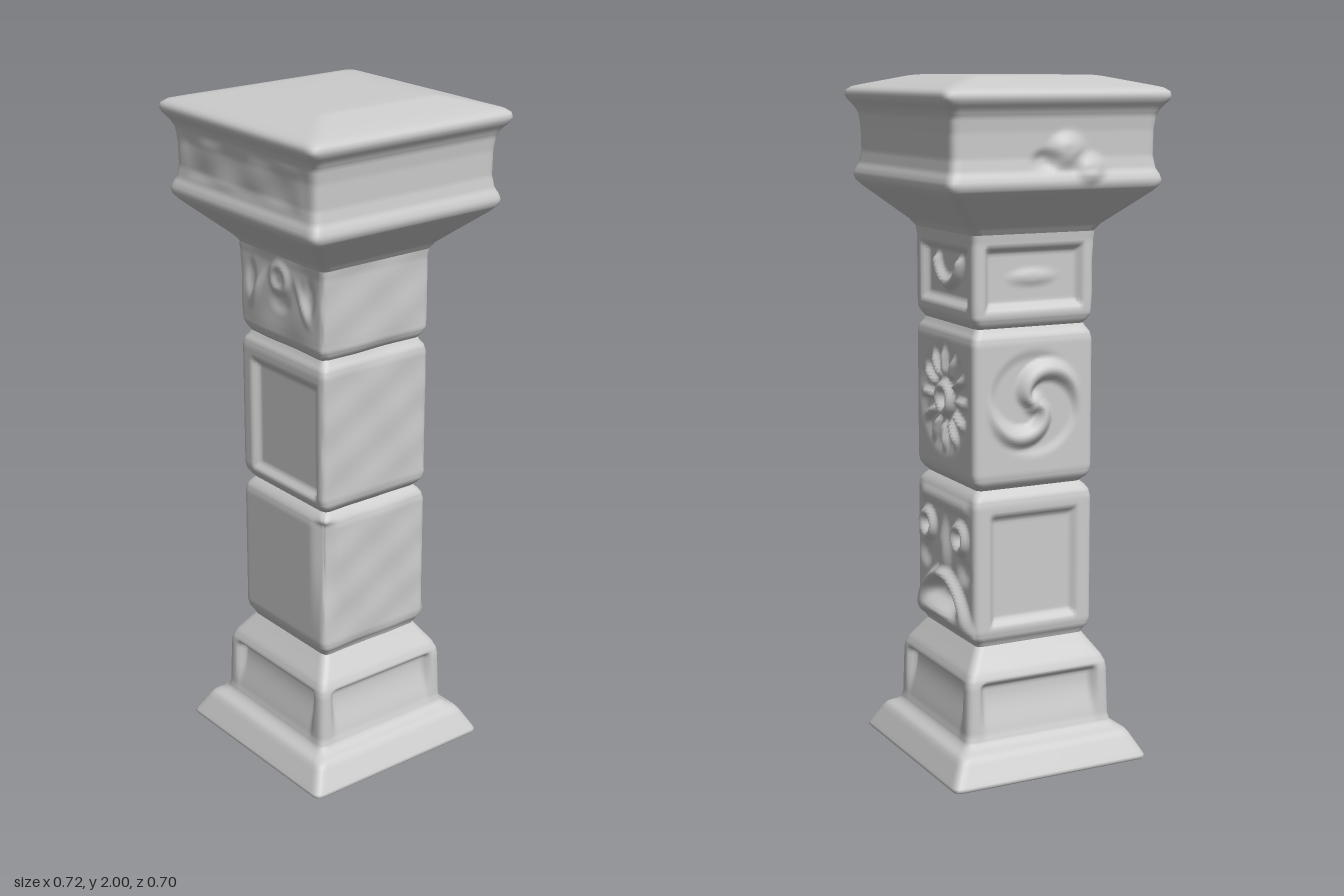
import * as THREE from 'three';

const stone = new THREE.MeshStandardMaterial({ color: 0xcccccc });
const PER_SIDE = 56, ROW = 0.0085, DEPTH = 0.975;

// --- relief helpers: u runs left to right on a face seen from outside, y is height ---
const step = (a, b, x) => THREE.MathUtils.smoothstep(x, a, b);
const bump = (d, w) => 1 - step(0, w, Math.abs(d));            // soft ridge around d = 0
const boxDist = (u, y, cx, cy, hw, hh) => Math.max(Math.abs(u - cx) - hw, Math.abs(y - cy) - hh);
const panel = (u, y, cx, cy, hw, hh, depth) => -depth * (1 - step(-0.022, 0.004, boxDist(u, y, cx, cy, hw, hh)));
const ring = (u, y, cx, cy, r, w) => bump(Math.hypot(u - cx, y - cy) - r, w);
const blob = (u, y, cx, cy, rx, ry) => 1 - step(0.2, 1, Math.hypot((u - cx) / rx, (y - cy) / ry));
const rough = (u, y) => 0.0012 * (Math.sin(31 * u + 17 * y) + Math.sin(43 * y - 23 * u));

// Square loft with rounded corners; profile = [halfWidth, y], reliefs = [front, right, back, left]
function carvedBlock(name, profile, radius, reliefs = []) {
  const rows = [];
  profile.forEach(([h, y], k) => {
    if (k) {
      const [h0, y0] = profile[k - 1];
      const n = Math.max(1, Math.ceil((y - y0) / ROW));
      for (let i = 1; i < n; i++) rows.push([h0 + (h - h0) * i / n, y0 + (y - y0) * i / n]);
    }
    rows.push([h, y]);
  });
  const pos = [], index = [], ringSize = PER_SIDE * 4;
  for (const [h, y] of rows) {
    const r = Math.min(radius, h * 0.5), core = h - r;
    for (let s = 0; s < 4; s++) {
      const angle = s * Math.PI / 2, c = Math.cos(angle), sn = Math.sin(angle);
      for (let i = 0; i < PER_SIDE; i++) {
        const u = (i / PER_SIDE * 2 - 1) * h;
        const cu = THREE.MathUtils.clamp(u, -core, core);
        const len = Math.hypot(u - cu, r) || 1;
        const push = r + (reliefs[s] ? reliefs[s](u, y) : 0);
        const a = cu + (u - cu) / len * push, b = core + r / len * push;
        pos.push(a * c + b * sn, y, (b * c - a * sn) * DEPTH);
      }
    }
  }
  for (let j = 0; j < rows.length - 1; j++) {
    for (let i = 0; i < ringSize; i++) {
      const n = (i + 1) % ringSize, a = j * ringSize, b = a + ringSize;
      index.push(a + i, a + n, b + n, a + i, b + n, b + i);
    }
  }
  const geo = new THREE.BufferGeometry();
  geo.setAttribute('position', new THREE.Float32BufferAttribute(pos, 3));
  geo.setIndex(index);
  geo.computeVertexNormals();
  const mesh = new THREE.Mesh(geo, stone);
  mesh.name = name;
  return mesh;
}

// --- carvings ---
// Sloping niche on each side of the base, deepest under its top edge
const niche = (u, y) => -0.026 * (1 - step(0.175, 0.2, Math.abs(u))) * step(0.1, 0.25, y) * (1 - step(0.265, 0.285, y));

// Mournful mask: ringed eyes, brow, nose and an arched open mouth
function mask(u, y) {
  let d = 0;
  for (const side of [-1, 1]) {
    const x = side * 0.108;
    d += 0.02 * ring(u, y, x, 0.685, 0.036, 0.022) - 0.012 * blob(u, y, x, 0.685, 0.022, 0.022);
    d -= 0.012 * blob(u, y, side * 0.13, 0.59, 0.055, 0.05);
  }
  d += 0.016 * blob(u, y, 0, 0.63, 0.05, 0.11);
  d += 0.01 * bump(y - 0.775, 0.035) * (1 - step(0.13, 0.18, Math.abs(u)));
  const arch = 0.5 - 2.6 * u * u;
  const m = Math.hypot(u / 0.125, (y - arch) / 0.05);
  d += 0.026 * bump(m - 1.1, 0.55) - 0.024 * (1 - step(0.3, 0.9, m));
  d += 0.014 * blob(u, y, 0, 0.425, 0.15, 0.04);
  return d;
}

// Sun: pierced disc with twelve petal rays
function sun(u, y) {
  const dy = y - 1.08, r = Math.hypot(u, dy), a = Math.atan2(dy, u);
  const ray = Math.max(0, Math.cos(12 * a)) * step(0.06, 0.085, r) * (1 - step(0.12, 0.165, r));
  const ground = -0.008 * (1 - step(0.13, 0.175, r));
  return ground + 0.02 * ray + 0.024 * bump(r - 0.038, 0.024) - 0.01 * (1 - step(0, 0.02, r));
}

// Two-armed swirl
function swirl(u, y) {
  const dy = y - 1.08, r = Math.hypot(u, dy), a = Math.atan2(dy, u);
  const arm = Math.pow(Math.max(0, Math.cos(2 * (a + r * 19))), 1.2);
  return (0.026 * arm - 0.008) * (1 - step(0.125, 0.16, r)) * step(0, 0.04, r) + 0.012 * (1 - step(0.01, 0.04, r));
}

// Sunken frame holding a crescent
function crescent(u, y) {
  const r = Math.hypot(u, y - 1.49);
  return panel(u, y, 0, 1.44, 0.155, 0.085, 0.022)
    + 0.022 * bump(r - 0.075, 0.026) * (1 - step(1.475, 1.5, y));
}

// Worn glyph: small eye with slanting strokes
function glyph(u, y) {
  const v = Math.abs(u);
  let d = rough(u, y) + 0.008 * ring(u, y, 0, 1.5, 0.035, 0.022);
  d += 0.009 * bump(v - 0.1 + (y - 1.46) * 0.5, 0.022) * bump(y - 1.45, 0.08);
  d -= 0.008 * blob(u, y, 0.135, 1.47, 0.03, 0.07) + 0.008 * blob(u, y, -0.135, 1.47, 0.03, 0.07);
  return d - 0.006 * blob(u, y, 0, 1.43, 0.06, 0.04);
}

// Broken corner between front and +x faces of the lower block
const chipFade = (y) => step(0.42, 0.76, y) * (1 - step(0.79, 0.82, y));
const chipFront = (u, y) => -0.022 * step(0.13, 0.195, u) * chipFade(y);
const chipRight = (u, y) => rough(u, y) - 0.022 * (1 - step(-0.195, -0.13, u)) * chipFade(y);

// Damaged patch on the capital
const scar = (u, y) => 0.02 * blob(u, y, 0.03, 1.8, 0.07, 0.06) + 0.018 * blob(u, y, 0.1, 1.75, 0.06, 0.05)
  - 0.014 * blob(u, y, -0.04, 1.77, 0.05, 0.04);
const capWear = (u, y) => 1.5 * rough(u, y) * step(1.75, 1.78, y) * (1 - step(1.86, 1.89, y)) * (1 - step(0.25, 0.3, Math.abs(u)));

// Block with pillowed edges between two grooves
const blockProfile = (y0, y1, g0, g1) => [
  [g0, y0], [0.184, y0 + 0.012], [0.193, y0 + 0.025], [0.197, y0 + 0.045],
  [0.197, y1 - 0.045], [0.193, y1 - 0.025], [0.184, y1 - 0.012], [g1, y1],
];

export function createModel() {
  const pillar = new THREE.Group();
  pillar.name = 'carvedPillar';

  // Flared foot and plinth
  pillar.add(carvedBlock('base', [
    [0, 0], [0.3, 0], [0.318, 0.001], [0.324, 0.008], [0.318, 0.02], [0.288, 0.074], [0.278, 0.086],
    [0.258, 0.096], [0.245, 0.108], [0.24, 0.13], [0.236, 0.27], [0.233, 0.29], [0.224, 0.31], [0.196, 0.35], [0.179, 0.375],
  ], 0.022, [niche, niche, niche, niche]));

  // Stacked shaft blocks
  pillar.add(carvedBlock('lowerBlock', blockProfile(0.375, 0.835, 0.179, 0.172), 0.02, [
    chipFront, chipRight, mask,
    (u, y) => panel(u, y, 0, 0.6, 0.145, 0.165, 0.018),
  ]));
  pillar.add(carvedBlock('middleBlock', blockProfile(0.835, 1.3, 0.172, 0.178), 0.02, [
    (u, y) => panel(u, y, 0.01, 1.05, 0.155, 0.175, 0.02),
    rough, sun, swirl,
  ]));
  pillar.add(carvedBlock('upperBlock', [
    [0.178, 1.3], [0.188, 1.312], [0.196, 1.33], [0.197, 1.36], [0.197, 1.54], [0.2, 1.565],
  ], 0.02, [
    glyph, rough, crescent,
    (u, y) => panel(u, y, 0, 1.44, 0.16, 0.09, 0.022) + 0.008 * blob(u, y, 0, 1.44, 0.1, 0.03),
  ]));

  // Flared capital with moulded rim and shallow pyramid top
  pillar.add(carvedBlock('capital', [
    [0.2, 1.565], [0.215, 1.585], [0.322, 1.68], [0.337, 1.697], [0.341, 1.712], [0.337, 1.727], [0.328, 1.745],
    [0.322, 1.78], [0.323, 1.85], [0.328, 1.89], [0.338, 1.91], [0.354, 1.93], [0.359, 1.943], [0.356, 1.956],
    [0.342, 1.966], [0.32, 1.972], [0.215, 1.997], [0.195, 2], [0.1, 2], [0, 2],
  ], 0.024, [capWear, null, null, scar]));

  return pillar;
}
